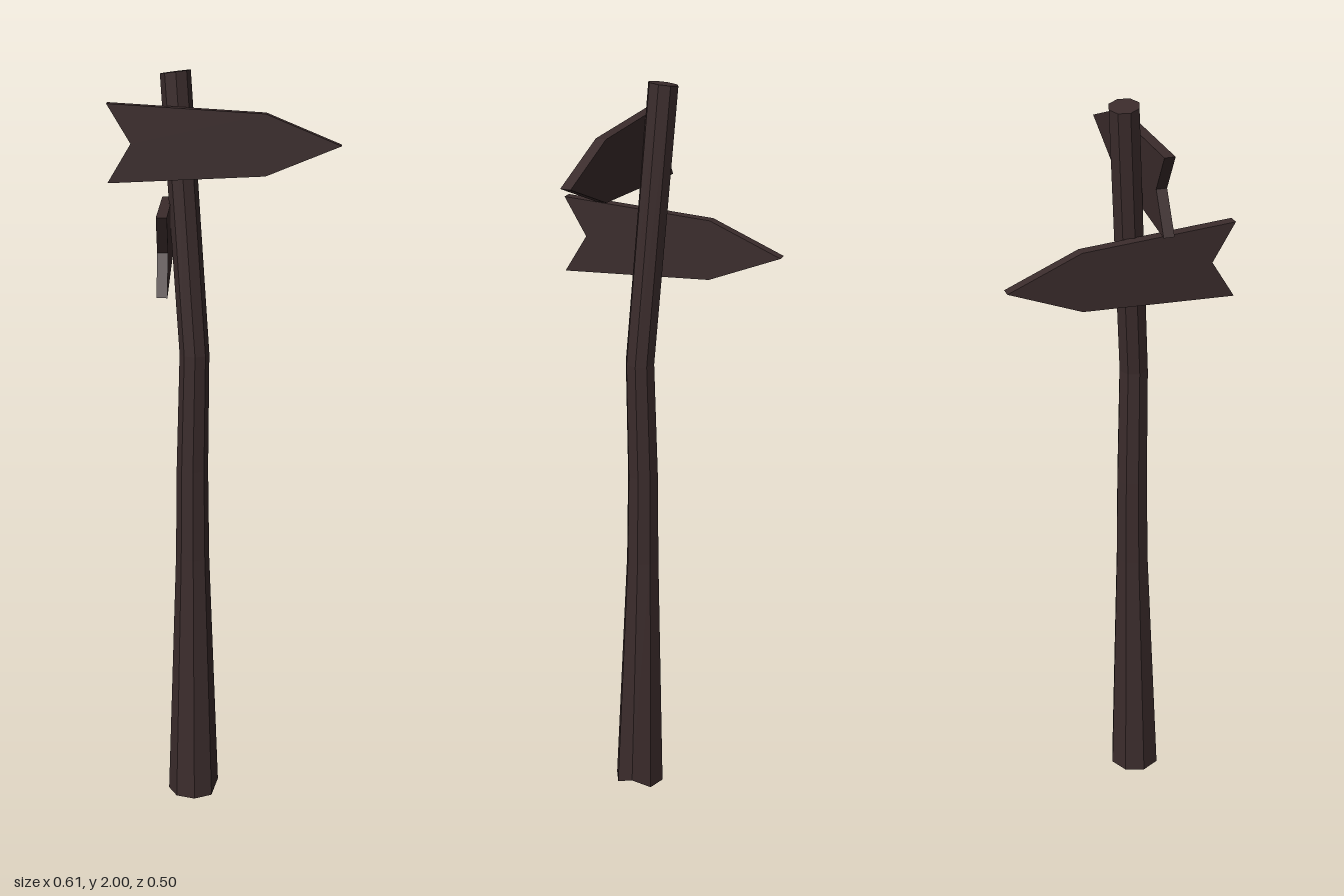
import * as THREE from 'three';

const wood = new THREE.MeshStandardMaterial({ color: 0x3b2c2c, flatShading: true });

// Bent, tapering eight-sided post: rings of [y, centre x, centre z, radius]
function createPost() {
  const rings = [
    [0, -0.035, 0.007, 0.069],
    [0.7, -0.04, 0.002, 0.045],
    [0.95, -0.04, 0.002, 0.042],
    [1.27, -0.031, 0.004, 0.039],
    [1.993, -0.094, -0.003, 0.039],
  ];
  const last = rings.length - 1;
  const geo = new THREE.CylinderGeometry(1, 1, last, 8, last, false, THREE.MathUtils.degToRad(-7));
  const pos = geo.attributes.position;
  for (let i = 0; i < pos.count; i++) {
    const row = Math.round(pos.getY(i) + last / 2);
    const [y, cx, cz, r] = rings[row];
    const x = pos.getX(i), z = pos.getZ(i);
    let lift = 0;
    if (row === last) lift = 0.006 * x; // top cut square to the lean
    if (row === 0 && x > 0.7 && z < -0.5) lift = 0.025; // chipped foot corner
    pos.setXYZ(i, cx + r * x, y + lift, cz + r * z);
  }
  geo.computeVertexNormals();
  const post = new THREE.Mesh(geo, wood);
  post.name = 'post';
  return post;
}

// Arrow board with a swallow-tail notch, starting at its tail
function createBoard(name, tailX, y, tailZ, degrees) {
  const shape = new THREE.Shape([
    [0, -0.1], [0.4, -0.078], [0.59, 0], [0.4, 0.078], [0, 0.1], [0.06, 0],
  ].map(([u, v]) => new THREE.Vector2(u, v)));
  const thickness = 0.027;
  const geo = new THREE.ExtrudeGeometry(shape, { depth: thickness, bevelEnabled: false });
  geo.translate(0, 0, -thickness / 2);
  const board = new THREE.Mesh(geo, wood);
  board.name = name;
  board.position.set(tailX, y, tailZ);
  board.rotation.y = THREE.MathUtils.degToRad(degrees);
  return board;
}

export function createModel() {
  const group = new THREE.Group();
  group.name = 'signpost';
  group.add(
    createPost(),
    createBoard('upperArrowBoard', -0.206, 1.821, 0.135, 31.6),
    createBoard('lowerArrowBoard', 0.042, 1.575, 0.24, 124.7),
  );
  return group;
}
